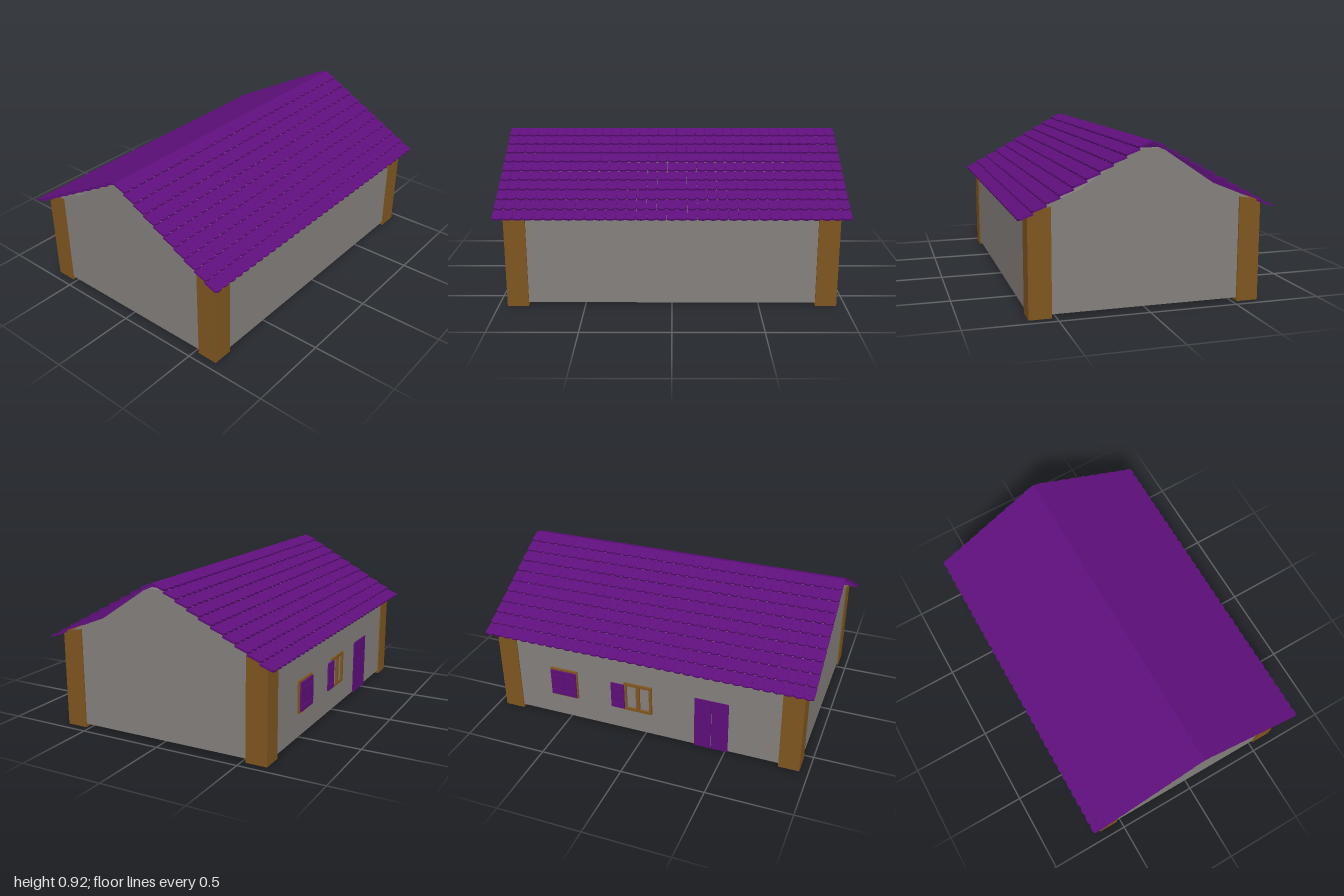
import * as THREE from 'three';
import { mergeGeometries } from 'three/addons/utils/BufferGeometryUtils.js';

const mat = (name, color) => Object.assign(new THREE.MeshStandardMaterial({ color }), { name });

export function createModel() {
  const wallGrey = mat('wallGrey', 0x84807d);
  const timber = mat('timberBrown', 0x7f561f);
  const purple = mat('roofPurple', 0x5f0f7c);
  const model = new THREE.Group();
  model.name = 'house';

  const add = (name, geometry, material, parent = model) => {
    const mesh = new THREE.Mesh(geometry, material);
    mesh.name = name;
    parent.add(mesh);
    return mesh;
  };
  // box given by its extents on each axis
  const box = (name, [x0, x1], [y0, y1], [z0, z1], material, parent) => {
    const g = new THREE.BoxGeometry(x1 - x0, y1 - y0, z1 - z0);
    g.translate((x0 + x1) / 2, (y0 + y1) / 2, (z0 + z1) / 2);
    return add(name, g, material, parent);
  };
  // prism with a (z, y) outline, extruded along x from x0 to x1
  const prismX = (points, x0, x1) => {
    const shape = new THREE.Shape(points.map(([z, y]) => new THREE.Vector2(-z, y)));
    const g = new THREE.ExtrudeGeometry(shape, { depth: x1 - x0, bevelEnabled: false });
    g.rotateY(Math.PI / 2);
    g.translate(x0, 0, 0);
    return g;
  };

  // floor and long walls
  box('floor', [-0.9, 0.9], [0.025, 0.045], [-0.6, 0.6], wallGrey);
  box('frontWall', [-0.94, 0.94], [0.02, 0.555], [0.6, 0.643], wallGrey);
  box('backWall', [-0.94, 0.94], [0.02, 0.555], [-0.643, -0.6], wallGrey);

  // gable walls with a kinked, flat-topped outline
  const half = [[0.642, 0.02], [0.642, 0.555], [0.525, 0.61], [0.37, 0.672], [0.075, 0.87]];
  const gable = [...half, ...half.map(([z, y]) => [-z, y]).reverse()];
  add('leftGable', prismX(gable, 0.9, 0.941), wallGrey);
  add('rightGable', prismX(gable, -0.941, -0.9), wallGrey);

  // corner posts, tops sloping under the eaves
  for (const sz of [1, -1]) {
    const outline = [[0.525, 0], [0.65, 0], [0.65, 0.56], [0.62, 0.575], [0.525, 0.59]]
      .map(([z, y]) => [z * sz, y]);
    add('cornerPost', prismX(outline, 0.825, 0.948), timber);
    add('cornerPost', prismX(outline, -0.948, -0.825), timber);
  }

  // roof: overlapping rows of round-tailed tiles
  const columns = 35, rows = 10, pitch = 2 / columns;
  const w = (pitch - 0.001) / 2, len = 0.085, slope = 0.346;
  const tileShape = new THREE.Shape();
  tileShape.moveTo(-w, 0);
  tileShape.lineTo(-w, -len + 0.009);
  tileShape.quadraticCurveTo(0, -len - 0.009, w, -len + 0.009);
  tileShape.lineTo(w, 0);
  const tile = new THREE.ExtrudeGeometry(tileShape, { depth: 0.011, bevelEnabled: false, curveSegments: 6 });
  tile.rotateX(-Math.PI / 2);
  tile.rotateX(slope);
  const tiles = [];
  for (let r = 0; r < rows; r++) {
    for (let c = 0; c < columns; c++) {
      const x = -1 + (c + 0.5) * pitch;
      tiles.push(tile.clone().translate(x, 0.907 - 0.0383 * r, 0.07 * r - 0.004));
    }
  }
  const slopeGeometry = mergeGeometries(tiles);
  add('frontRoofTiles', slopeGeometry, purple);
  add('backRoofTiles', slopeGeometry, purple).rotation.y = Math.PI;

  // double door on the back wall
  const door = new THREE.Group();
  door.name = 'door';
  model.add(door);
  box('doorLeaf', [-0.52, -0.419], [0.015, 0.35], [-0.648, -0.64], purple, door);
  box('doorLeaf', [-0.416, -0.315], [0.015, 0.35], [-0.648, -0.64], purple, door);

  // shutter leaf with two battens
  const shutter = (x0, x1, parent) => {
    box('shutterLeaf', [x0, x1], [0.188, 0.355], [-0.68, -0.671], purple, parent);
    for (const y of [0.22, 0.323])
      box('shutterBatten', [x0 + 0.01, x1 - 0.01], [y - 0.004, y + 0.004], [-0.685, -0.68], purple, parent);
  };
  // window frame with a central mullion
  const windowFrame = (name, x0, x1) => {
    const g = new THREE.Group(), z = [-0.671, -0.658], y = [0.178, 0.365], t = 0.016;
    g.name = name;
    model.add(g);
    box('jamb', [x0, x0 + t], y, z, timber, g);
    box('jamb', [x1 - t, x1], y, z, timber, g);
    const mid = (x0 + x1) / 2;
    box('mullion', [mid - 0.011, mid + 0.011], y, z, timber, g);
    box('sill', [x0 + t, x1 - t], [y[0], y[0] + t], z, timber, g);
    box('lintel', [x0 + t, x1 - t], [y[1] - t, y[1]], z, timber, g);
    return g;
  };

  const closed = windowFrame('closedWindow', 0.42, 0.595);
  shutter(0.426, 0.506, closed);
  shutter(0.509, 0.589, closed);
  const open = windowFrame('openWindow', -0.058, 0.116);
  shutter(0.112, 0.195, open);

  return model;
}
